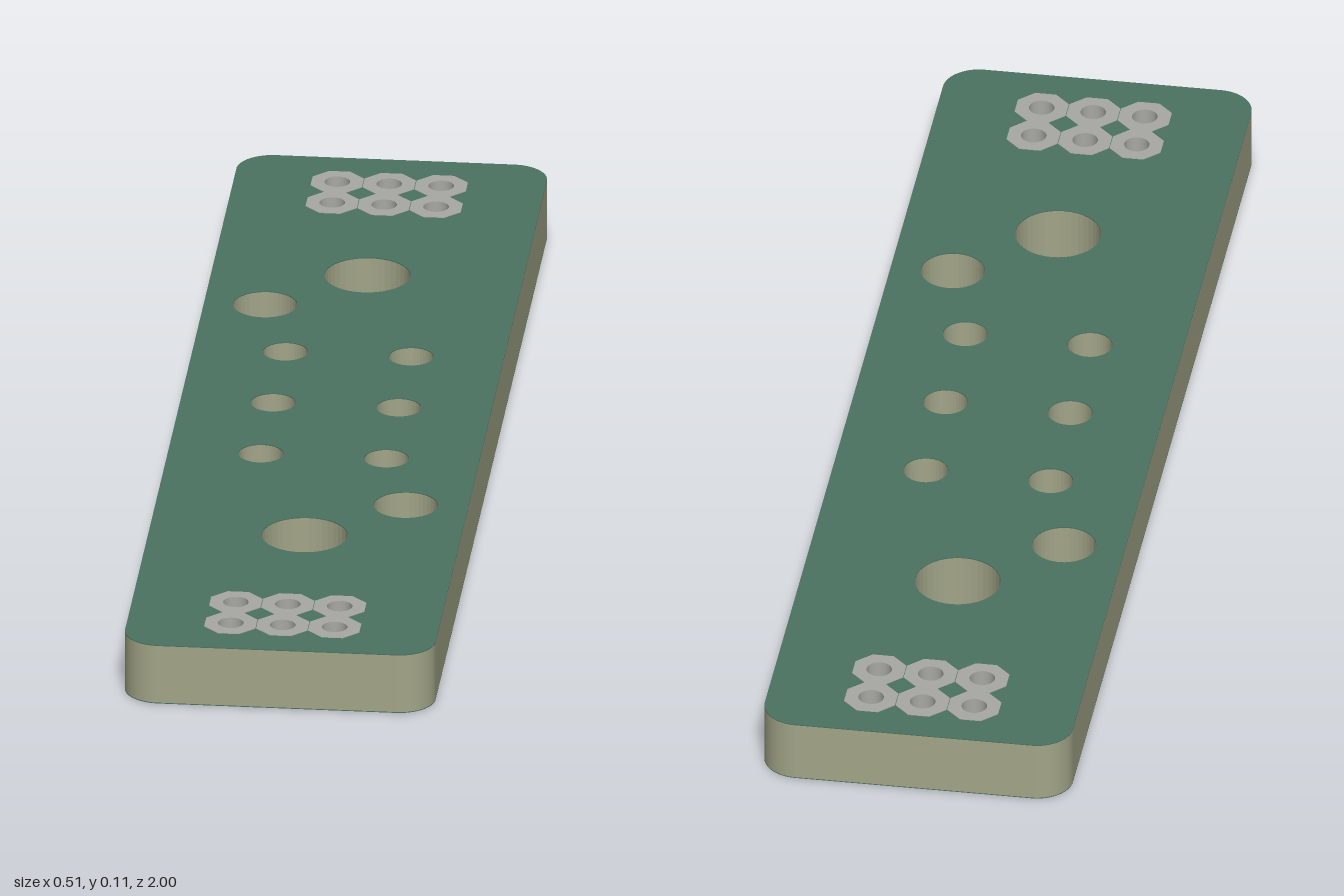
import * as THREE from 'three';

const HALF_W = 0.257, HALF_L = 1, CORNER = 0.06, TOP = 0.107;
const PIN_R = 0.021, BARREL_R = 0.028;

// drill holes: [x, z, radius]
const drills = [[0, -0.53, 0.071], [0, 0.53, 0.071], [-0.156, -0.395, 0.053], [0.154, 0.393, 0.053]];
for (const x of [-0.104, 0.104]) for (const z of [-0.208, 0, 0.208]) drills.push([x, z, 0.037]);

// header pins: two 3 x 2 grids
const pins = [];
for (const z of [-0.9, -0.815, 0.815, 0.9]) for (const x of [-0.086, 0, 0.086]) pins.push([x, z]);

function circle(x, y, r, Type = THREE.Path) {
  const p = new Type();
  p.absarc(x, y, r, 0, Math.PI * 2, false);
  return p;
}

// rounded board outline, shape y becomes -z once laid flat
function boardShape() {
  const s = new THREE.Shape(), a = HALF_W - CORNER, b = HALF_L - CORNER;
  s.absarc(a, b, CORNER, 0, Math.PI / 2);
  s.absarc(-a, b, CORNER, Math.PI / 2, Math.PI);
  s.absarc(-a, -b, CORNER, Math.PI, Math.PI * 1.5);
  s.absarc(a, -b, CORNER, Math.PI * 1.5, Math.PI * 2);
  s.closePath();
  for (const [x, z, r] of drills) s.holes.push(circle(x, -z, r));
  for (const [x, z] of pins) s.holes.push(circle(x, -z, BARREL_R));
  return s;
}

// octagonal pad with a round hole
function padShape() {
  const s = new THREE.Shape();
  for (let i = 0; i < 8; i++) {
    const a = (i + 0.5) * Math.PI / 4, r = 0.046;
    if (i) s.lineTo(r * Math.cos(a), r * Math.sin(a));
    else s.moveTo(r * Math.cos(a), r * Math.sin(a));
  }
  s.closePath();
  s.holes.push(circle(0, 0, PIN_R));
  return s;
}

// horizontal slab between two heights
function slab(shape, y0, y1) {
  const g = new THREE.ExtrudeGeometry(shape, { depth: y1 - y0, bevelEnabled: false, curveSegments: 20 });
  return g.rotateX(-Math.PI / 2).translate(0, y0, 0);
}

export function createModel() {
  const model = new THREE.Group();
  const core = new THREE.MeshStandardMaterial({ color: 0xa2a588 });
  const mask = new THREE.MeshStandardMaterial({ color: 0x4a7260 });
  const metal = new THREE.MeshStandardMaterial({ color: 0xa8a8a4 });

  const add = (name, geometry, material, parent = model) => {
    const m = new THREE.Mesh(geometry, material);
    m.name = name;
    parent.add(m);
    return m;
  };

  // board core and the thin green layer on each face
  const board = boardShape();
  add('boardCore', slab(board, 0.0025, TOP - 0.0025), core);
  add('topMask', slab(board, TOP - 0.0025, TOP - 0.001), mask);
  add('bottomMask', slab(board, 0.001, 0.0025), mask);

  // plated through holes with a pad on both faces
  const padTop = slab(padShape(), TOP - 0.002, TOP);
  const padBottom = slab(padShape(), 0, 0.002);
  const ring = circle(0, 0, BARREL_R, THREE.Shape);
  ring.holes.push(circle(0, 0, PIN_R));
  const barrel = slab(ring, 0.001, TOP - 0.001);
  for (const [x, z] of pins) {
    const contact = new THREE.Group();
    contact.name = 'platedHole';
    contact.position.set(x, 0, z);
    add('topPad', padTop, metal, contact);
    add('bottomPad', padBottom, metal, contact);
    add('barrel', barrel, metal, contact);
    model.add(contact);
  }
  return model;
}
